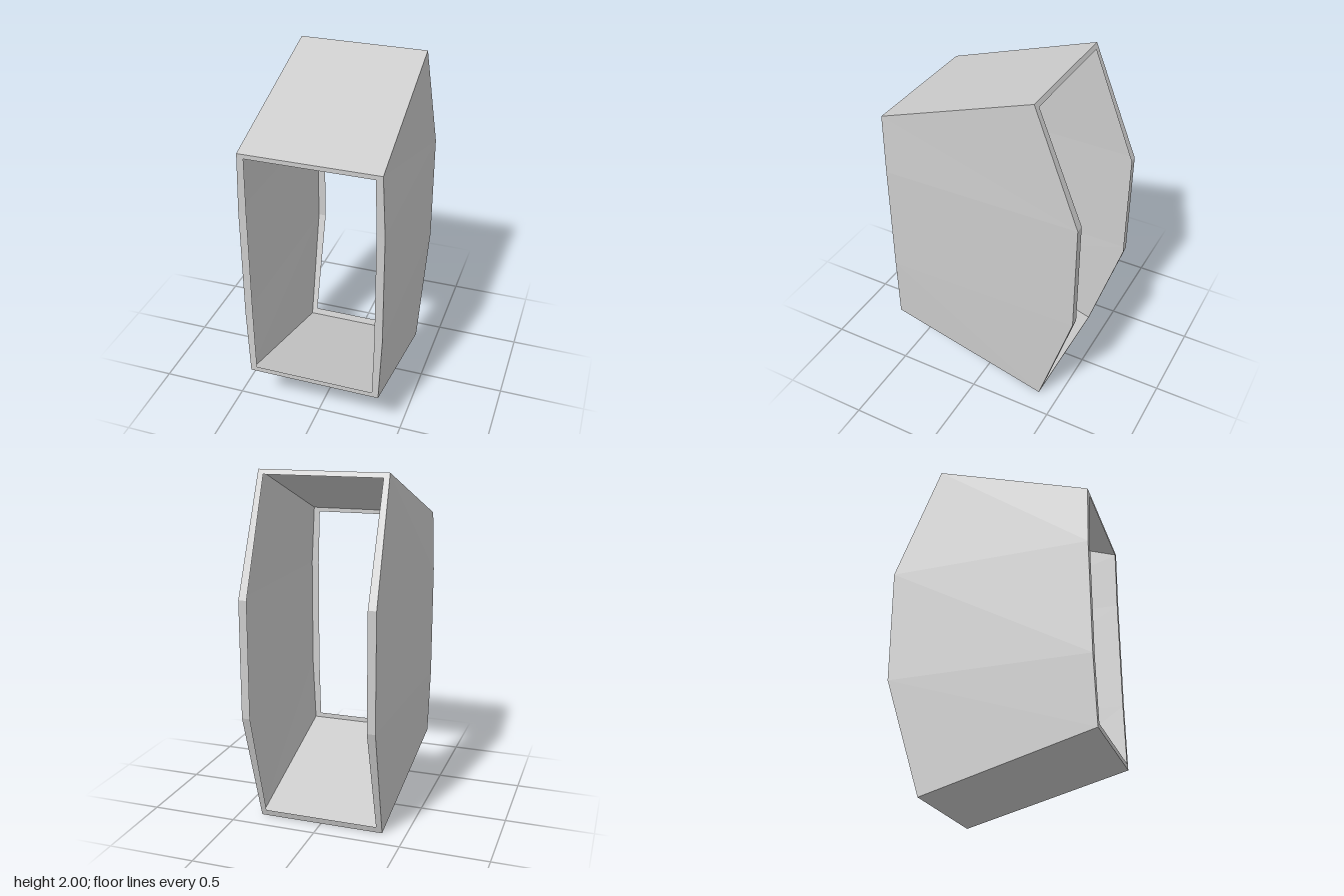
import * as THREE from 'three';

// Each loop lists the +x half from top to bottom; the -x half is mirrored.
const halfLoops = {
  frontInner: [[0.35, 1.66, 0.585], [0.357, 1.335, 0.578], [0.357, 0.67, 0.578], [0.35, 0.3, 0.585]],
  frontOuter: [[0.387, 1.685, 0.585], [0.402, 1.335, 0.578], [0.402, 0.67, 0.578], [0.387, 0.27, 0.585]],
  backOuter: [[0.367, 2, -0.315], [0.382, 1.335, -0.583], [0.382, 0.67, -0.583], [0.367, 0, -0.38]],
  backInner: [[0.335, 1.973, -0.326], [0.335, 1.335, -0.583], [0.335, 0.67, -0.583], [0.335, 0.038, -0.392]],
};

function fullLoop(half) {
  return [...half, ...half.map(([x, y, z]) => [-x, y, z]).reverse()];
}

// Thin sheet between two loops, over a stretch of their eight sides.
function sheet(name, fromHalf, toHalf, first, count, material) {
  const from = fullLoop(fromHalf);
  const to = fullLoop(toHalf);
  const positions = [];
  for (let i = first; i < first + count; i++) {
    const j = (i + 1) % 8;
    const [a, b, c, d] = [from[i], from[j], to[j], to[i]];
    positions.push(...a, ...b, ...c, ...a, ...c, ...d);
  }
  const geometry = new THREE.BufferGeometry();
  geometry.setAttribute('position', new THREE.Float32BufferAttribute(positions, 3));
  geometry.computeVertexNormals();
  const mesh = new THREE.Mesh(geometry, material);
  mesh.name = name;
  return mesh;
}

export function createModel() {
  const material = new THREE.MeshStandardMaterial({
    color: 0xcccccc,
    flatShading: true,
    side: THREE.DoubleSide,
  });
  const { frontInner, frontOuter, backOuter, backInner } = halfLoops;
  const group = new THREE.Group();
  group.name = 'openHousing';
  group.add(
    // thin outer shell
    sheet('leftWall', frontOuter, backOuter, 0, 3, material),
    sheet('bottomPanel', frontOuter, backOuter, 3, 1, material),
    sheet('rightWall', frontOuter, backOuter, 4, 3, material),
    sheet('topPanel', frontOuter, backOuter, 7, 1, material),
    // inward lips around both openings
    sheet('frontFlange', frontInner, frontOuter, 0, 8, material),
    sheet('backFlange', backOuter, backInner, 0, 8, material),
  );
  return group;
}
